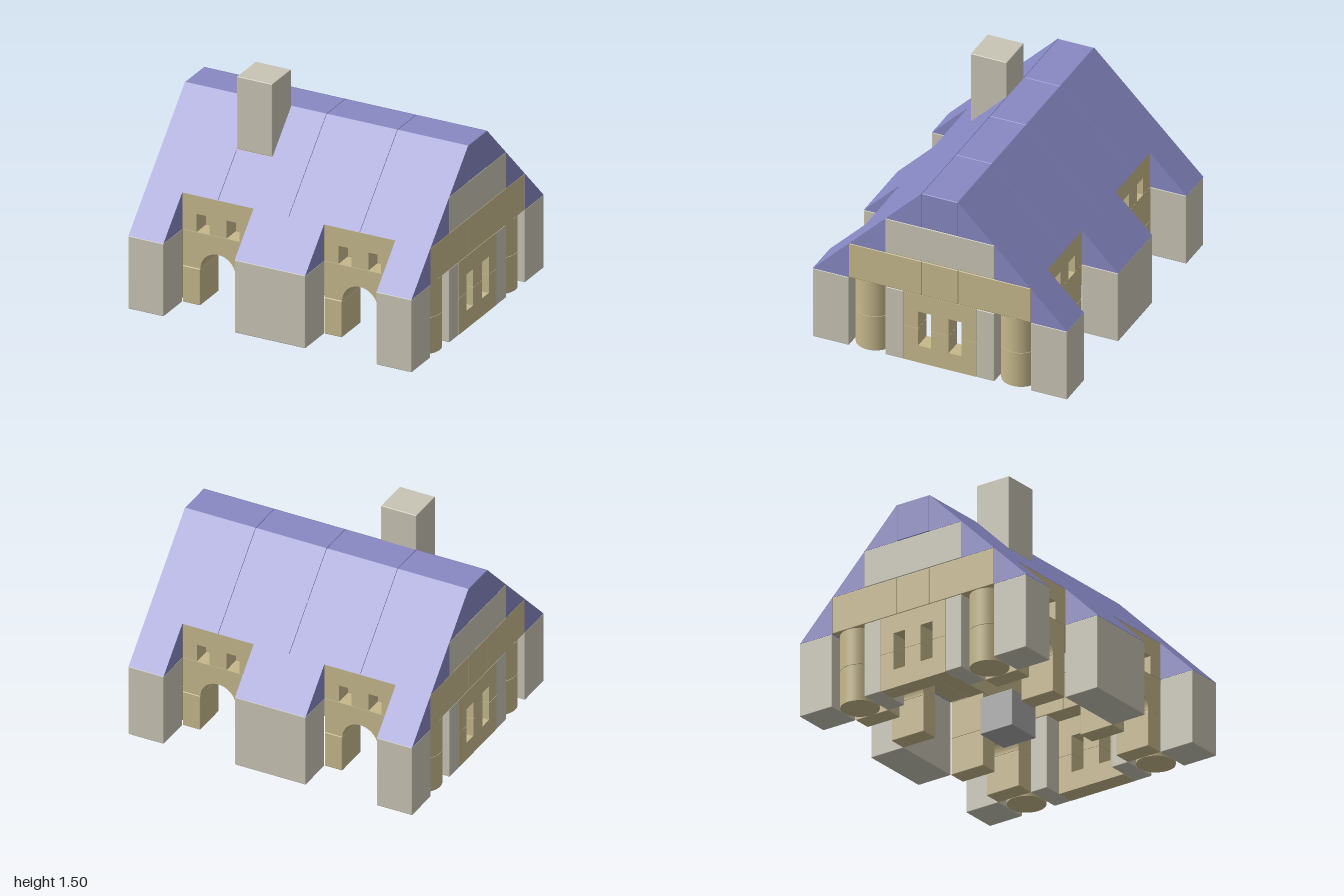
import * as THREE from 'three';
import { RoundedBoxGeometry } from 'three/addons/geometries/RoundedBoxGeometry.js';

const mat = (color) => new THREE.MeshStandardMaterial({ color, roughness: 0.8 });

export function createModel() {
  const house = new THREE.Group();
  house.name = 'blockHouse';
  const stone = mat(0xc9c5b5), tan = mat(0xc6b88c), blue = mat(0x8888c4), grey = mat(0xa8a8a8);

  const add = (name, geometry, material) => {
    const mesh = new THREE.Mesh(geometry, material);
    mesh.name = name;
    house.add(mesh);
    return mesh;
  };

  // Softly rounded block given by its limits on each axis
  const block = (name, material, [x0, x1], [y0, y1], [z0, z1]) => {
    const g = new RoundedBoxGeometry(x1 - x0, y1 - y0, z1 - z0, 2, 0.006);
    g.translate((x0 + x1) / 2, (y0 + y1) / 2, (z0 + z1) / 2);
    return add(name, g, material);
  };

  // Limits mirrored to side s of the centre
  const span = (s, a, b) => (s > 0 ? [a, b] : [-b, -a]);

  // Roof wedge running along x, sloping down away from the ridge
  const wedge = (name, s, [x0, x1], z, y) => {
    const shape = new THREE.Shape([
      new THREE.Vector2(s * z, y),
      new THREE.Vector2(s * (z + 0.25), y),
      new THREE.Vector2(s * z, y + 0.25),
    ]);
    const g = new THREE.ExtrudeGeometry(shape, { depth: x1 - x0 - 0.003, bevelEnabled: false });
    g.rotateY(-Math.PI / 2).translate(x1 - 0.0015, 0, 0);
    return add(name, g, blue);
  };

  // Flat block shape, 0.5 wide and 0.25 high, with two notches in its lower edge
  const notched = new THREE.Shape();
  notched.moveTo(-0.249, 0.001);
  for (const x of [-0.15, 0.06]) {
    notched.lineTo(x, 0.001);
    notched.lineTo(x, 0.125);
    notched.lineTo(x + 0.09, 0.125);
    notched.lineTo(x + 0.09, 0.001);
  }
  notched.lineTo(0.249, 0.001);
  notched.lineTo(0.249, 0.249);
  notched.lineTo(-0.249, 0.249);
  const notchedGeometry = () =>
    new THREE.ExtrudeGeometry(notched, { depth: 0.125, bevelEnabled: false }).translate(0, 0, -0.0625);

  // Door arch shape
  const arch = new THREE.Shape();
  arch.moveTo(-0.248, 0.002);
  arch.lineTo(-0.125, 0.002);
  arch.absarc(0, 0, 0.125, Math.PI, 0, true);
  arch.lineTo(0.248, 0.002);
  arch.lineTo(0.248, 0.248);
  arch.lineTo(-0.248, 0.248);

  // Long sides, front and back
  for (const s of [1, -1]) {
    const outer = span(s, 0.625, 0.875), inner = span(s, 0.375, 0.625);
    const xs = [[-1, -0.75], [-0.25, 0.25], [0.75, 1]];
    for (const x of xs) {
      block('sidePillar', stone, x, [0, 0.5], outer);
      wedge('eavesRoof', s, x, 0.625, 0.5);
    }
    for (const cx of [-0.5, 0.5]) {
      for (const px of [-0.25, 0.125])
        block('doorPost', tan, [cx + px, cx + px + 0.125], [0, 0.25], inner);
      const a = new THREE.ExtrudeGeometry(arch, {
        depth: 0.246, curveSegments: 24, bevelEnabled: false,
      });
      add('doorArch', a, tan).position.set(cx, 0.25, inner[0] + 0.002);
      add('upperWindow', notchedGeometry(), tan).position.set(cx, 0.5, s * 0.5615);
    }
    // Beams that carry the roof
    block('wallBlock', tan, [-0.25, 0.25], [0.5, 0.75], span(s, 0.5, 0.625));
    block('wallBeam', tan, [-0.75, 0.75], [0.5, 0.75], span(s, 0.375, 0.5));
    block('roofBeam', stone, [-0.75, 0.75], [0.75, 1], span(s, 0.125, 0.375));

    // Middle and top roof courses, leaving room for the chimney
    for (let x = -1; x < 1; x += 0.5) {
      wedge('middleRoof', s, [x, x + 0.5], 0.375, 0.75);
      wedge('topRoof', s, s > 0 && x === -0.5 ? [-0.25, 0] : [x, x + 0.5], 0.125, 1);
    }
  }

  // Gable ends
  for (const s of [1, -1]) {
    const end = span(s, 0.75, 1);
    for (const t of [1, -1]) {
      block('gablePier', stone, end, [0, 0.5], span(t, 0.25, 0.375));
      block('gableLintel', tan, end, [0.5, 0.75], span(t, 0.125, 0.625));
      for (const y of [0, 0.25]) {
        const drum = new THREE.CylinderGeometry(0.124, 0.124, 0.247, 40);
        add('columnDrum', drum, tan).position.set(s * 0.875, y + 0.125, t * 0.5);
      }
    }
    block('gableLintelCentre', tan, end, [0.5, 0.75], [-0.125, 0.125]);
    block('gableBeam', stone, end, [0.75, 1], [-0.375, 0.375]);

    // Two notched blocks face each other to form the windows
    for (const up of [0, 1]) {
      const w = add('gableWindow', notchedGeometry(), tan);
      w.rotation.set(0, Math.PI / 2, up ? 0 : Math.PI);
      w.position.set(s * 0.9365, 0.25, 0);
    }
  }

  // Ridge blocks, chimney and the cube inside
  for (let x = -1; x < 1; x += 0.5)
    block('ridge', blue, [x, x + 0.5], [1, 1.25], [-0.125, 0.125]);
  block('chimney', stone, [-0.5, -0.25], [1, 1.5], [0.125, 0.375]);
  block('table', grey, [-0.125, 0.125], [0, 0.25], [-0.125, 0.125]);

  return house;
}
